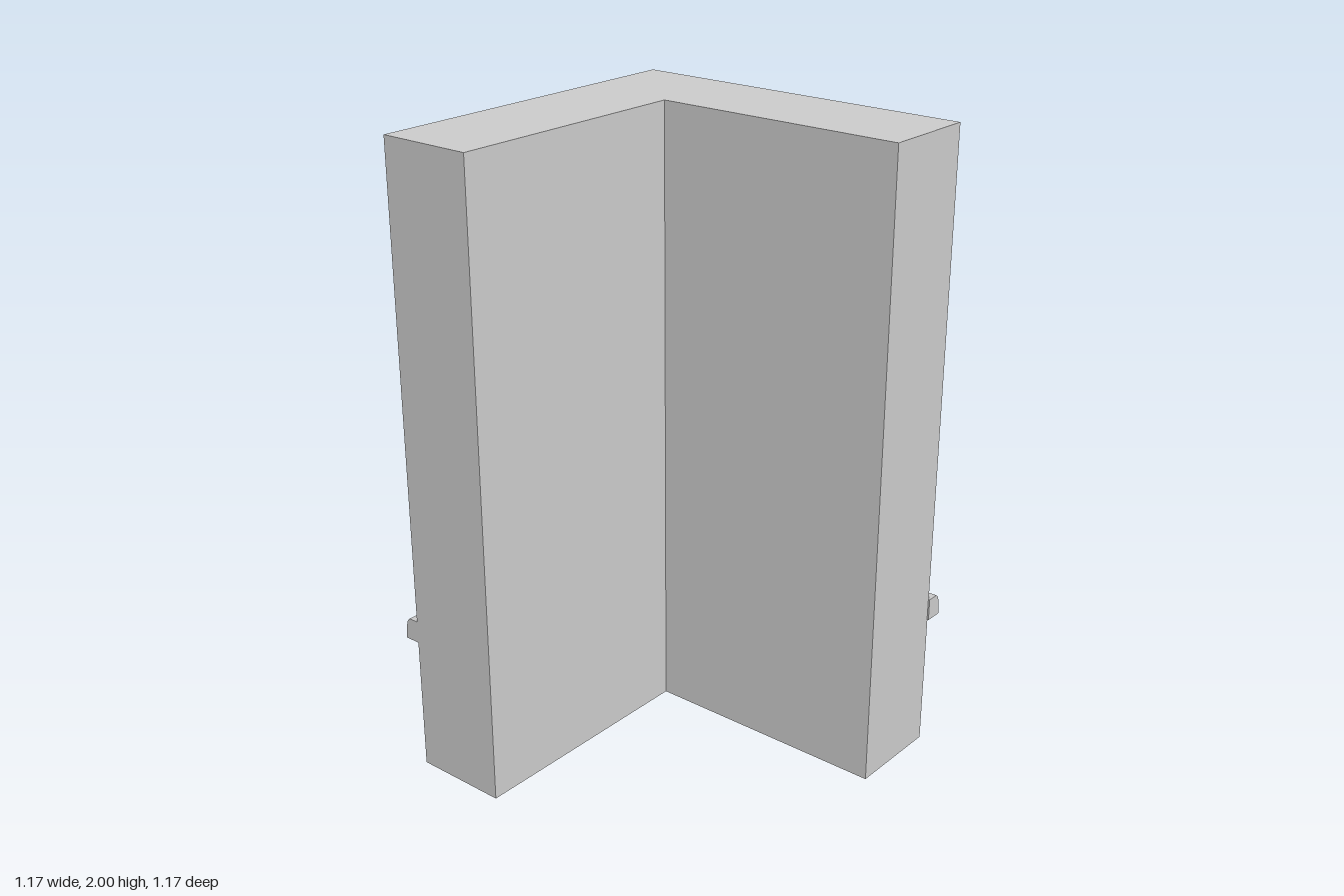
import * as THREE from 'three';
import { toCreasedNormals } from 'three/addons/utils/BufferGeometryUtils.js';

const material = new THREE.MeshStandardMaterial({ color: 0xcccccc });

function addPart(group, name, geometry) {
  const mesh = new THREE.Mesh(geometry, material);
  mesh.name = name;
  group.add(mesh);
}

// L-shaped plan (x, z) raised to the full height
function wallGeometry(height) {
  const plan = [
    [-0.535, -0.53], [0.581, -0.53], [0.581, -0.22],
    [-0.227, -0.22], [-0.227, 0.586], [-0.535, 0.586],
  ];
  const shape = new THREE.Shape(plan.map(([x, z]) => new THREE.Vector2(x, -z)));
  const geometry = new THREE.ExtrudeGeometry(shape, { depth: height, bevelEnabled: false });
  return geometry.rotateX(-Math.PI / 2);
}

// Moulding profile (outward offset, height) swept round the outer corner with a mitre
function railGeometry() {
  const profile = [[-0.004, 0.432], [0.054, 0.432], [0.053, 0.448]];
  const curve = new THREE.CubicBezierCurve(
    new THREE.Vector2(0.051, 0.468), new THREE.Vector2(0.048, 0.491),
    new THREE.Vector2(0.043, 0.504), new THREE.Vector2(0.03, 0.504));
  curve.getPoints(8).forEach((p) => profile.push([p.x, p.y]));
  profile.push([-0.004, 0.504]);

  const base = -0.532, end = 0.586, n = profile.length;
  const stations = [
    (d, y) => [end, y, base - d],
    (d, y) => [base - d, y, base - d],
    (d, y) => [base - d, y, end],
  ];
  const positions = [], index = [];
  for (const place of stations) {
    for (const [d, y] of profile) positions.push(...place(d, y));
  }
  // Long faces
  for (let s = 0; s < 2; s++) {
    for (let i = 0; i < n; i++) {
      const j = (i + 1) % n, a = s * n, b = a + n;
      index.push(a + i, b + i, a + j, a + j, b + i, b + j);
    }
  }
  // End caps
  for (let i = 1; i < n - 1; i++) {
    index.push(0, i, i + 1, 2 * n, 2 * n + i + 1, 2 * n + i);
  }
  const geometry = new THREE.BufferGeometry();
  geometry.setAttribute('position', new THREE.Float32BufferAttribute(positions, 3));
  geometry.setIndex(index);
  return toCreasedNormals(geometry, Math.PI / 5);
}

export function createModel() {
  const group = new THREE.Group();
  group.name = 'wallCorner';
  addPart(group, 'cornerWall', wallGeometry(2));
  addPart(group, 'mitredRail', railGeometry());
  return group;
}
